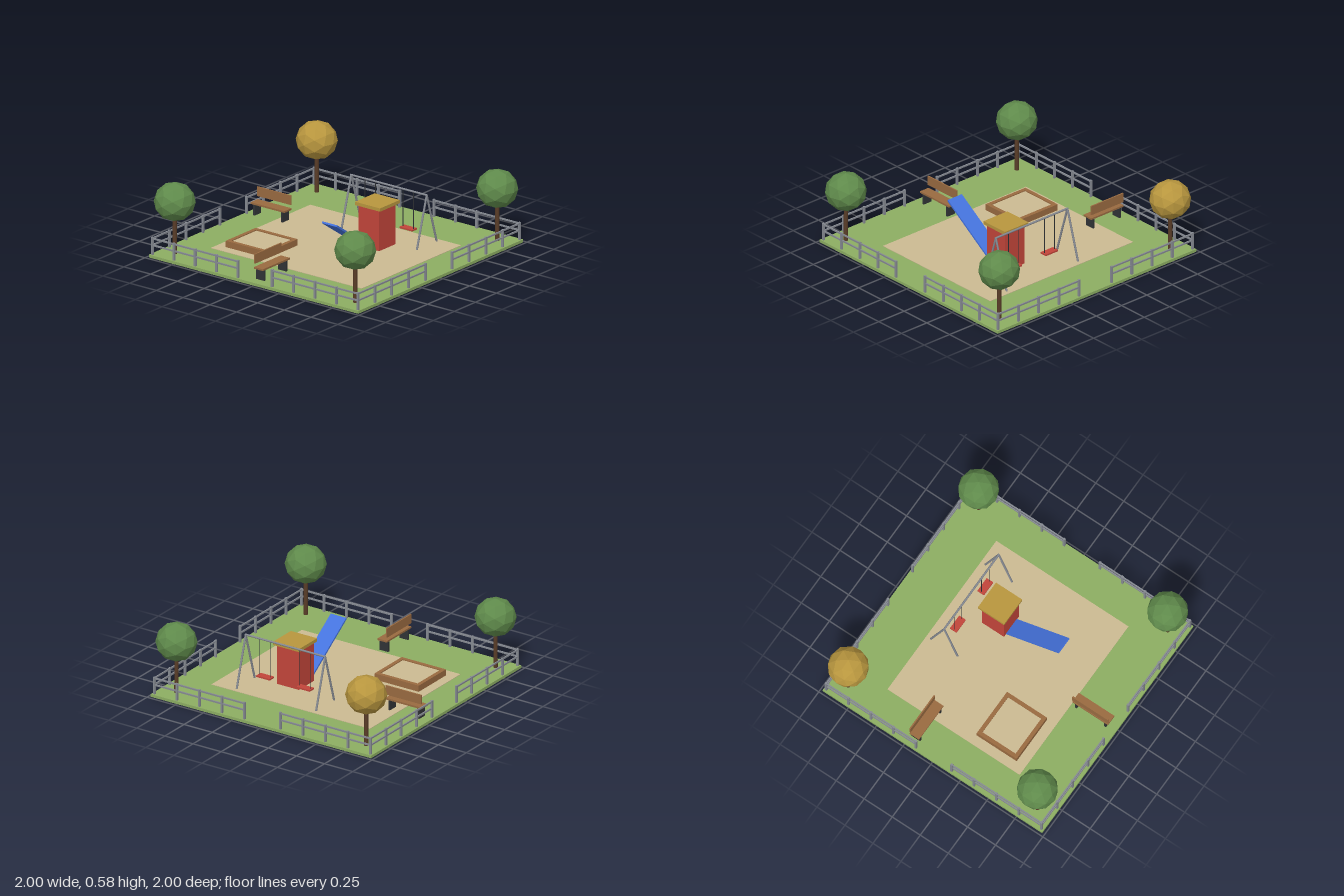
import * as THREE from 'three';

const mat = (name, color, flatShading = false) => {
  const m = new THREE.MeshStandardMaterial({ color, flatShading });
  m.name = name;
  return m;
};

export function createModel() {
  const grass = mat('grass', 0x8cad62);
  const sand = mat('sand', 0xcbba92);
  const red = mat('red', 0xc2453a);
  const gold = mat('gold', 0xb8963e, true);
  const blue = mat('blue', 0x4573dd);
  const wood = mat('wood', 0x996a40);
  const steel = mat('steel', 0x868a92);
  const dark = mat('dark', 0x303336);
  const leaf = mat('leaf', 0x5f8a4b, true);
  const bark = mat('bark', 0x5a3d28);

  const model = new THREE.Group();
  model.name = 'playground';
  const group = (name, parent = model) => {
    const g = new THREE.Group();
    g.name = name;
    parent.add(g);
    return g;
  };
  const mesh = (parent, name, geometry, material, x, y, z) => {
    const m = new THREE.Mesh(geometry, material);
    m.name = name;
    m.position.set(x, y, z);
    parent.add(m);
    return m;
  };
  // Box given by its ranges on each axis
  const box = (parent, name, material, [x0, x1], [y0, y1], [z0, z1]) =>
    mesh(parent, name, new THREE.BoxGeometry(x1 - x0, y1 - y0, z1 - z0), material,
      (x0 + x1) / 2, (y0 + y1) / 2, (z0 + z1) / 2);
  // Round bar between two points
  const bar = (parent, name, material, a, b, r) => {
    const p = new THREE.Vector3(...a), q = new THREE.Vector3(...b);
    const mid = p.clone().add(q).multiplyScalar(0.5);
    const m = mesh(parent, name, new THREE.CylinderGeometry(r, r, p.distanceTo(q), 8), material, mid.x, mid.y, mid.z);
    m.quaternion.setFromUnitVectors(new THREE.Vector3(0, 1, 0), q.sub(p).normalize());
  };

  // Ground
  const top = 0.022;
  box(model, 'lawn', grass, [-0.98, 0.98], [0, top], [-0.98, 0.98]);
  box(model, 'sandArea', sand, [-0.705, 0.705], [top - 0.003, top + 0.004], [-0.59, 0.59]);

  // Fence: two runs on each of four sides, leaving a gap in the middle
  for (let side = 0; side < 4; side++) {
    const fence = group('fenceSide');
    fence.rotation.y = side * Math.PI / 2;
    for (const s of [-1, 1]) {
      for (let i = 0; i < 5; i++) {
        const x = s * (0.16 + i * 0.2);
        box(fence, 'fencePost', steel, [x - 0.008, x + 0.008], [0.01, 0.158], [0.953, 0.969]);
      }
      for (const y of [0.095, 0.148])
        mesh(fence, 'fenceRail', new THREE.BoxGeometry(0.8, 0.012, 0.01), steel, s * 0.56, y, 0.961);
    }
  }

  // Trees
  for (const x of [-0.844, 0.844]) for (const z of [-0.844, 0.844]) {
    const tree = group('tree');
    tree.position.set(x, 0, z);
    mesh(tree, 'trunk', new THREE.CylinderGeometry(0.015, 0.017, 0.3, 8), bark, 0, 0.16, 0);
    const crown = mesh(tree, 'crown', new THREE.IcosahedronGeometry(0.156, 1), x < 0 && z < 0 ? gold : leaf, 0, 0.43, 0);
    crown.scale.y = 0.95;
  }

  // Swing set
  const swing = group('swingSet');
  const zs = -0.433, ys = 0.418;
  bar(swing, 'topBar', steel, [-0.203, ys, zs], [0.513, ys, zs], 0.008);
  for (const x of [-0.198, 0.508]) for (const s of [-1, 1])
    bar(swing, 'swingLeg', steel, [x, ys, zs], [x, 0.01, zs + s * 0.122], 0.008);
  for (const x of [-0.021, 0.335]) {
    box(swing, 'swingSeat', red, [x - 0.06, x + 0.06], [0.116, 0.128], [zs - 0.029, zs + 0.029]);
    for (const s of [-1, 1])
      bar(swing, 'swingRope', dark, [x + s * 0.049, 0.12, zs], [x + s * 0.049, ys, zs], 0.0025);
  }

  // Tower with flat roof
  const tower = group('tower');
  box(tower, 'towerBody', red, [0.118, 0.312], [0.01, 0.345], [-0.313, -0.117]);
  box(tower, 'towerRoof', gold, [0.098, 0.332], [0.343, 0.369], [-0.336, -0.102]);

  // Slide: a straight sloping board
  const lowZ = -0.125, highZ = 0.35, lowY = 0.026, highY = 0.349;
  const slide = mesh(model, 'slide',
    new THREE.BoxGeometry(0.138, 0.014, Math.hypot(highZ - lowZ, highY - lowY)),
    blue, 0.214, (lowY + highY) / 2, (lowZ + highZ) / 2);
  slide.rotation.x = -Math.atan2(highY - lowY, highZ - lowZ);

  // Sandbox
  const pit = group('sandbox');
  const [x0, x1, z0, z1, w] = [-0.63, -0.237, 0.155, 0.511, 0.03];
  box(pit, 'sandboxBase', wood, [x0, x1], [-0.001, 0.055], [z0, z1]);
  box(pit, 'sandboxFill', sand, [x0 + w, x1 - w], [0.05, 0.068], [z0 + w, z1 - w]);
  for (const x of [x0, x1 - w]) box(pit, 'sandboxSide', wood, [x, x + w], [0.055, 0.075], [z0, z1]);
  for (const z of [z0, z1 - w]) box(pit, 'sandboxEnd', wood, [x0 + w, x1 - w], [0.055, 0.075], [z, z + w]);

  // Benches
  const bench = (x, z, turn) => {
    const b = group('bench');
    b.position.set(x, 0, z);
    b.rotation.y = turn;
    box(b, 'benchSeat', wood, [-0.159, 0.159], [0.106, 0.12], [-0.042, 0.042]);
    box(b, 'benchBack', wood, [-0.159, 0.159], [0.147, 0.22], [-0.044, -0.033]);
    for (const s of [-1, 1])
      mesh(b, 'benchLeg', new THREE.BoxGeometry(0.016, 0.1, 0.076), dark, s * 0.13, 0.057, 0);
  };
  bench(-0.765, -0.2, 0);
  bench(0, 0.762, Math.PI / 2);

  return model;
}
